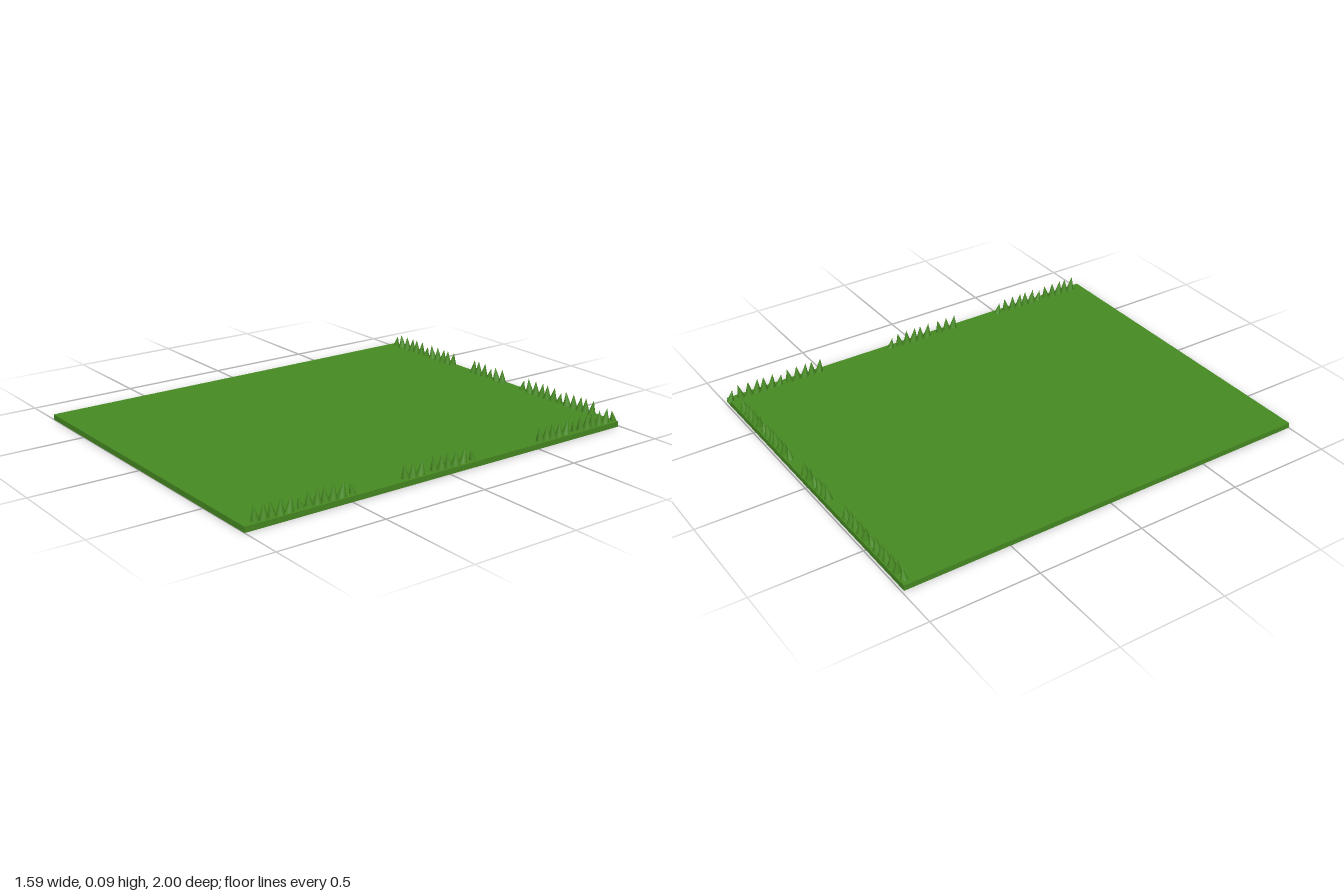
import * as THREE from 'three';

// One run of twelve blades: base position, tip position and tip height along the edge
const PERIOD = 0.247;
const SIX = [
  [-0.765, -0.751, 0.074],
  [-0.71, -0.721, 0.09],
  [-0.67, -0.672, 0.09],
  [-0.633, -0.624, 0.09],
  [-0.595, -0.594, 0.09],
  [-0.557, -0.547, 0.09],
];
const RUN = [...SIX, ...SIX.map(([b, t, h]) => [b + PERIOD, t + PERIOD, h])];

// Clumps as [first blade, end blade, shift along the edge]
const BACK_CLUMPS = [[0, 12, 0], [3, 9, 0.481], [0, 12, 0.96]];
const SIDE_CLUMPS = [[0, 12, -0.22], [0, 6, 0.622], [7, 10, 0.602], [0, 12, 1.246]];

const BASE_Y = 0.02;

// Cone leaning along x: shear the vertices towards the tip
function bladeGeometry(lean, height) {
  const h = height - BASE_Y;
  const radius = height < 0.08 ? 0.017 : 0.02;
  const geo = new THREE.ConeGeometry(radius, h, 10);
  geo.translate(0, h / 2, 0);
  const pos = geo.attributes.position;
  for (let i = 0; i < pos.count; i++) {
    pos.setX(i, pos.getX(i) + lean * pos.getY(i) / h);
  }
  geo.computeVertexNormals();
  return geo;
}

export function createModel() {
  const model = new THREE.Group();
  model.name = 'grassTile';
  const green = new THREE.MeshStandardMaterial({ color: 0x478b22 });
  green.name = 'grass green';

  // Flat slab of turf
  const slab = new THREE.Mesh(new THREE.BoxGeometry(1.59, 0.025, 1.99), green);
  slab.name = 'turfSlab';
  slab.position.set(-0.002, 0.0125, 0.005);
  model.add(slab);

  // Rows of blades along the back edge and the left edge
  const addRow = (name, clumps, place) => {
    const row = new THREE.Group();
    row.name = name;
    for (const [from, to, shift] of clumps) {
      const clump = new THREE.Group();
      clump.name = 'grassClump';
      for (const [base, tip, height] of RUN.slice(from, to)) {
        const blade = new THREE.Mesh(bladeGeometry(tip - base, height), green);
        blade.name = 'grassBlade';
        blade.position.set(base + shift, BASE_Y, 0);
        clump.add(blade);
      }
      row.add(clump);
    }
    place(row);
    model.add(row);
  };
  addRow('backGrassRow', BACK_CLUMPS, (row) => { row.position.z = -0.968; });
  addRow('leftGrassRow', SIDE_CLUMPS, (row) => {
    row.position.x = 0.768;
    row.rotation.y = -Math.PI / 2;
  });
  return model;
}
